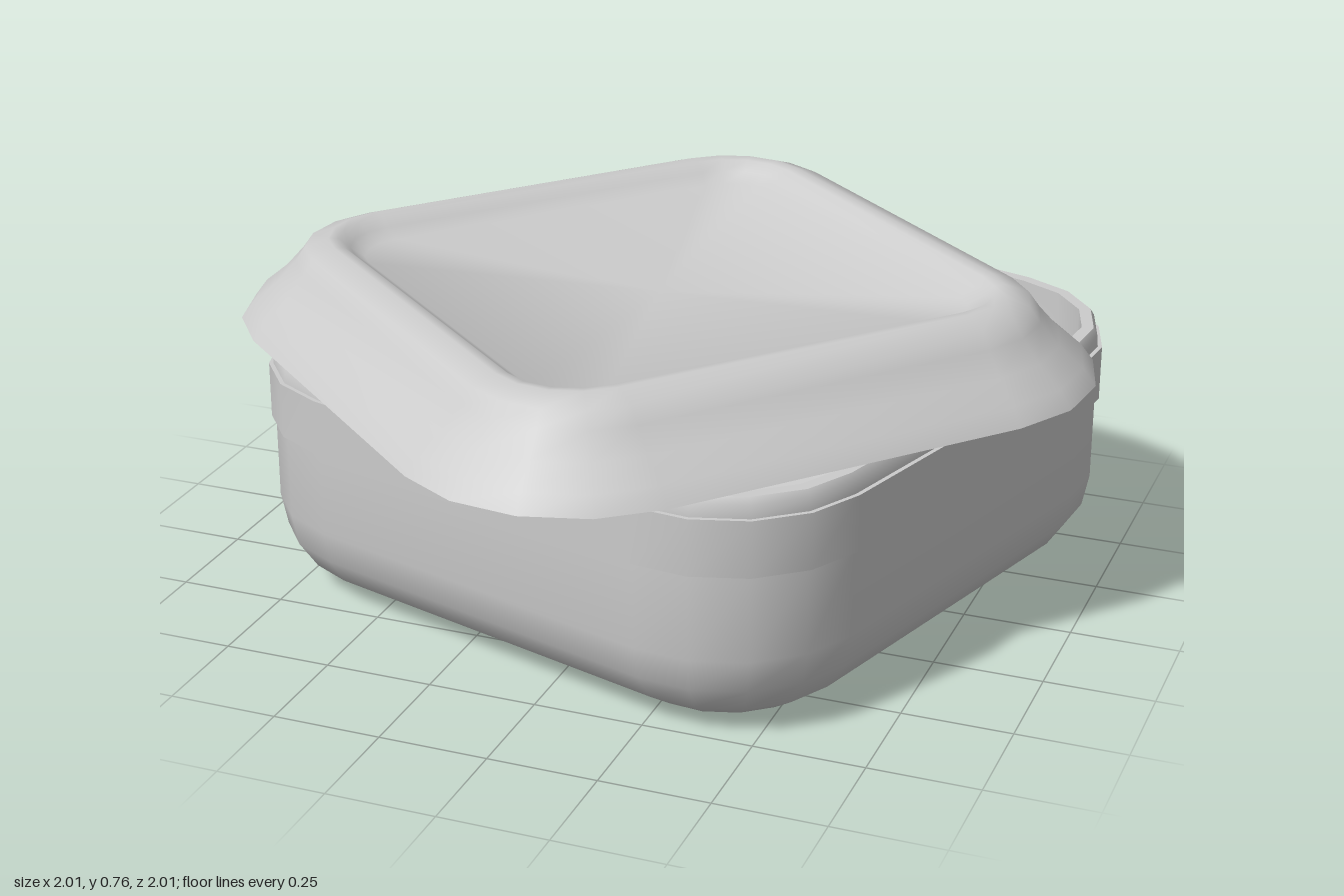
import * as THREE from 'three';
import { toCreasedNormals } from 'three/addons/utils/BufferGeometryUtils.js';

const CORNER_STEPS = 4;
const material = new THREE.MeshStandardMaterial({ color: 0xcccccc, side: THREE.DoubleSide });

// Outline of a rounded square: half width s, corner radius r
function roundedSquare(s, r) {
  const points = [];
  for (let corner = 0; corner < 4; corner++) {
    const mid = Math.PI / 4 + corner * Math.PI / 2;
    const cx = Math.sign(Math.cos(mid)) * (s - r);
    const cz = Math.sign(Math.sin(mid)) * (s - r);
    for (let k = 0; k <= CORNER_STEPS; k++) {
      const a = (corner + k / CORNER_STEPS) * Math.PI / 2;
      points.push([cx + r * Math.cos(a), cz + r * Math.sin(a)]);
    }
  }
  return points;
}

// Skin through rounded squares; profile rows are [inset, height], inset = half closes at the centre
function loft(half, radius, profile, crease) {
  const positions = [], index = [];
  const n = 4 * (CORNER_STEPS + 1);
  for (const [inset, y] of profile) {
    const s = half - inset;
    const r = Math.min(Math.max(radius - inset, 0.12), s);
    for (const [x, z] of roundedSquare(s, r)) positions.push(x, y, z);
  }
  for (let i = 0; i < profile.length - 1; i++) {
    for (let j = 0; j < n; j++) {
      const a = i * n + j, b = i * n + (j + 1) % n, c = a + n, d = b + n;
      if (profile[i][0] < half) index.push(a, c, b);
      if (profile[i + 1][0] < half) index.push(b, c, d);
    }
  }
  const geometry = new THREE.BufferGeometry();
  geometry.setAttribute('position', new THREE.Float32BufferAttribute(positions, 3));
  geometry.setIndex(index);
  return toCreasedNormals(geometry, crease);
}

function addPart(group, name, geometry) {
  const mesh = new THREE.Mesh(geometry, material);
  mesh.name = name;
  group.add(mesh);
  return mesh;
}

// Quarter-round rows between wall and floor
function fillet(inset, floor, size) {
  const rows = [];
  for (let k = 0; k <= 4; k++) {
    const a = k / 4 * Math.PI / 2;
    rows.push([inset + size * (1 - Math.sin(a)), floor + size * (1 - Math.cos(a))]);
  }
  return rows;
}

export function createModel() {
  const model = new THREE.Group();
  model.name = 'lidded box';

  // Open box with a rounded base, a slightly raised band and a hollow inside
  const box = 0.78;
  const container = addPart(model, 'container', loft(box, 0.33, [
    [box, 0],
    ...fillet(0, 0, 0.2),
    [0, 0.4], [-0.01, 0.4], [-0.01, 0.53], [0, 0.53],
    [0.003, 0.56], [0.012, 0.575],
    [0.04, 0.575],
    ...fillet(0.045, 0.04, 0.18).reverse(),
    [box, 0.04],
  ], 0.8));
  container.position.set(0.04, 0, -0.095);
  container.rotation.y = THREE.MathUtils.degToRad(-17);

  // Twisted lid: hollow underneath, flared skirt, shallow dished top
  const lid = 0.83;
  const cover = addPart(model, 'lid', loft(lid, 0.4, [
    [lid, 0.665], [0.24, 0.68], [0.2, 0.71], [0.16, 0.7],
    [0.12, 0.65], [0.06, 0.61], [0.025, 0.575],
    [0, 0.575], [0.03, 0.615], [0.085, 0.66], [0.13, 0.71],
    [0.155, 0.745], [0.21, 0.765], [0.235, 0.762],
    [0.26, 0.74], [0.29, 0.718], [lid, 0.69],
  ], 0.95));
  cover.rotation.y = THREE.MathUtils.degToRad(-40.4);

  return model;
}
